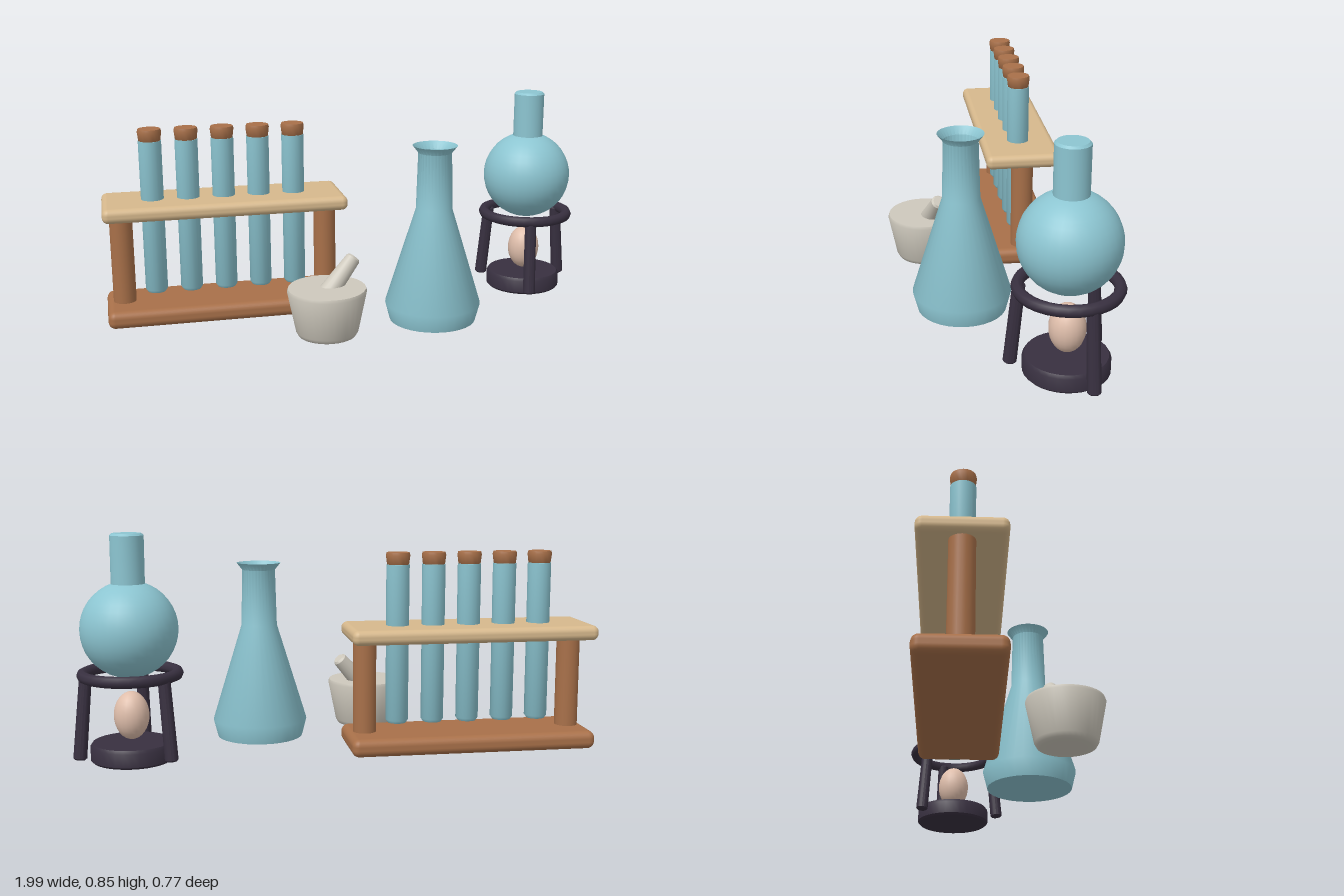
import * as THREE from 'three';
import { toCreasedNormals } from 'three/addons/utils/BufferGeometryUtils.js';
import { RoundedBoxGeometry } from 'three/addons/geometries/RoundedBoxGeometry.js';

const material = (name, color, side = THREE.FrontSide) => {
  const m = new THREE.MeshStandardMaterial({ color, side });
  m.name = name;
  return m;
};

export function createModel() {
  const model = new THREE.Group();
  model.name = 'laboratorySet';

  const glass = material('blueGlass', 0x8cc5d1, THREE.DoubleSide);
  const brown = material('brownWood', 0xa87049);
  const tan = material('paleWood', 0xd6b88c);
  const stone = material('paleStone', 0xcdc8bc);
  const iron = material('darkIron', 0x383040);
  const peach = material('flamePeach', 0xdfbeab);

  const group = (name, x, z) => {
    const g = new THREE.Group();
    g.name = name;
    g.position.set(x, 0, z);
    model.add(g);
    return g;
  };
  const add = (parent, name, geometry, mat, x = 0, y = 0, z = 0) => {
    const mesh = new THREE.Mesh(geometry, mat);
    mesh.name = name;
    mesh.position.set(x, y, z);
    parent.add(mesh);
    return mesh;
  };
  // Turned shape from [radius, height] pairs, bottom to top
  const turned = (points, segments = 32) => toCreasedNormals(
    new THREE.LatheGeometry(points.map(([r, y]) => new THREE.Vector2(r, y)), segments), 0.7);
  // Rod between two points
  const rod = (parent, name, from, to, r0, r1, mat) => {
    const a = new THREE.Vector3(...from), b = new THREE.Vector3(...to);
    const dir = b.clone().sub(a), len = dir.length();
    const bevel = Math.min(r0, r1) * 0.25;
    const mesh = add(parent, name, turned([
      [0, 0], [r0 - bevel, 0], [r0, bevel], [r1, len - bevel], [r1 - bevel, len], [0, len],
    ], 16), mat, ...from);
    mesh.quaternion.setFromUnitVectors(new THREE.Vector3(0, 1, 0), dir.normalize());
  };

  // Test tube rack
  const rack = group('testTubeRack', -0.52, -0.168);
  add(rack, 'rackBase', new RoundedBoxGeometry(0.96, 0.07, 0.305, 3, 0.028), brown, 0, 0.035);
  add(rack, 'rackShelf', new RoundedBoxGeometry(0.96, 0.057, 0.305, 3, 0.024), tan, 0, 0.457);
  for (const side of [-1, 1]) {
    add(rack, 'rackPost', new THREE.CylinderGeometry(0.045, 0.045, 0.4, 20), brown, side * 0.41, 0.25);
  }
  const tube = turned([[0, 0.1], [0.036, 0.102], [0.044, 0.114], [0.045, 0.72], [0, 0.72]], 20);
  const cork = turned([[0, 0.712], [0.039, 0.712], [0.042, 0.716], [0.047, 0.755], [0.044, 0.766], [0, 0.766]], 20);
  for (let i = -2; i <= 2; i++) {
    add(rack, 'testTube', tube, glass, i * 0.141);
    add(rack, 'cork', cork, brown, i * 0.141);
  }

  // Conical flask, open at the top
  const conical = group('conicalFlask', 0.272, 0.122);
  add(conical, 'conicalGlass', turned([
    [0, 0], [0.172, 0], [0.19, 0.07], [0.072, 0.455], [0.066, 0.68], [0.088, 0.708],
  ]), glass);
  for (const [x, y, z] of [[-0.04, 0.4, 0], [0.033, 0.455, 0.024]]) {
    add(conical, 'bubble', new THREE.SphereGeometry(0.03, 16, 12), glass, x, y, z);
  }

  // Mortar and pestle
  const mortar = group('mortarAndPestle', -0.182, 0.23);
  add(mortar, 'mortar', turned([
    [0, 0.008], [0.098, 0.008], [0.112, 0.014], [0.121, 0.03], [0.153, 0.188], [0.149, 0.2], [0, 0.2],
  ]), stone);
  rod(mortar, 'pestle', [0.0, 0.165, -0.012], [0.118, 0.298, -0.05], 0.04, 0.029, stone);

  // Round flask over a burner
  const burner = group('burnerStand', 0.78, -0.189);
  add(burner, 'roundFlask', new THREE.SphereGeometry(0.181, 32, 20), glass, 0, 0.495);
  add(burner, 'flaskNeck', turned([
    [0.062, 0.64], [0.062, 0.842], [0.054, 0.85], [0, 0.85],
  ], 24), glass);
  const ring = add(burner, 'standRing', new THREE.TorusGeometry(0.175, 0.022, 8, 32), iron, 0, 0.328);
  ring.rotation.x = Math.PI / 2;
  for (let i = 0; i < 3; i++) {
    const a = THREE.MathUtils.degToRad(-17 + i * 120);
    const c = Math.cos(a), s = Math.sin(a);
    rod(burner, 'standLeg', [c * 0.198, 0.022, s * 0.198], [c * 0.168, 0.33, s * 0.168], 0.025, 0.023, iron);
  }
  add(burner, 'burnerBase', turned([
    [0, 0], [0.147, 0], [0.155, 0.008], [0.155, 0.058], [0.147, 0.07], [0, 0.07],
  ]), iron);
  const flame = add(burner, 'flame', new THREE.SphereGeometry(0.066, 20, 16), peach, 0, 0.17);
  flame.scale.y = 1.38;

  return model;
}
